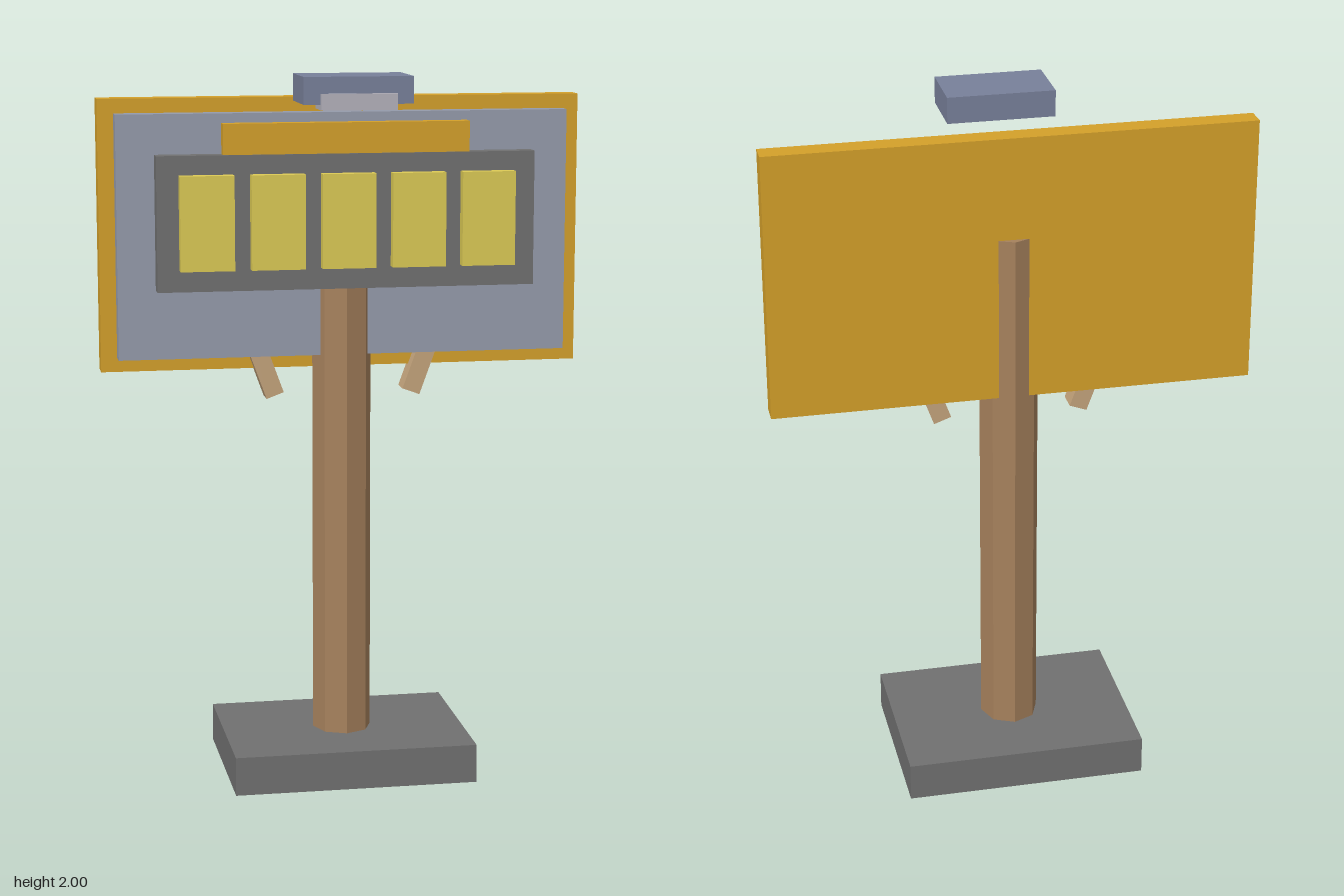
import * as THREE from 'three';

const mat = (color) => new THREE.MeshStandardMaterial({ color, flatShading: true });

export function createModel() {
  const model = new THREE.Group();
  const gold = mat(0xd4a02a), slate = mat(0x959bab), dark = mat(0x707070);
  const wood = mat(0xa6815c), paleWood = mat(0xc4a47c), yellow = mat(0xdcca55);
  const lampBlue = mat(0x78809a), lensGrey = mat(0xb4b2bc);

  // Box given by its extents along each axis
  function slab(name, [x0, x1], [y0, y1], [z0, z1], material) {
    const mesh = new THREE.Mesh(new THREE.BoxGeometry(x1 - x0, y1 - y0, z1 - z0), material);
    mesh.position.set((x0 + x1) / 2, (y0 + y1) / 2, (z0 + z1) / 2);
    mesh.name = name;
    model.add(mesh);
    return mesh;
  }

  // Foot and eight-sided post
  slab('base', [-0.345, 0.345], [0, 0.11], [-0.271, 0.246], dark);
  const post = new THREE.Mesh(new THREE.CylinderGeometry(0.09, 0.09, 1.53, 8), wood);
  post.name = 'post';
  post.scale.x = 0.93;
  post.position.set(0, 0.875, -0.012);
  model.add(post);

  // Layered sign board
  slab('backBoard', [-0.68, 0.68], [1.17, 1.93], [-0.083, -0.02], gold);
  slab('signFace', [-0.635, 0.635], [1.21, 1.89], [-0.02, 0.032], slate);
  slab('displayPanel', [-0.53, 0.53], [1.405, 1.78], [0.039, 0.088], dark);
  slab('headerStrip', [-0.345, 0.345], [1.775, 1.865], [0.046, 0.084], gold);

  // Row of five tiles
  for (let i = -2; i <= 2; i++) {
    const x = i * 0.197;
    slab('displayTile', [x - 0.075, x + 0.075], [1.465, 1.727], [0.085, 0.122], yellow);
  }

  // Slanted braces running up into the board
  for (const side of [-1, 1]) {
    const tilt = 0.35, length = 0.3;
    const brace = new THREE.Mesh(new THREE.BoxGeometry(0.052, length, 0.062), paleWood);
    brace.name = side > 0 ? 'leftBrace' : 'rightBrace';
    brace.rotation.z = -side * tilt;
    brace.position.set(side * (0.195 + Math.sin(tilt) * length / 2), 1.096 + Math.cos(tilt) * length / 2, -0.01);
    model.add(brace);
  }

  // Lamp above the sign
  slab('lampHousing', [-0.15, 0.15], [1.926, 2], [0.077, 0.259], lampBlue);
  slab('lampLens', [-0.104, 0.104], [1.911, 1.955], [0.175, 0.272], lensGrey);

  return model;
}
